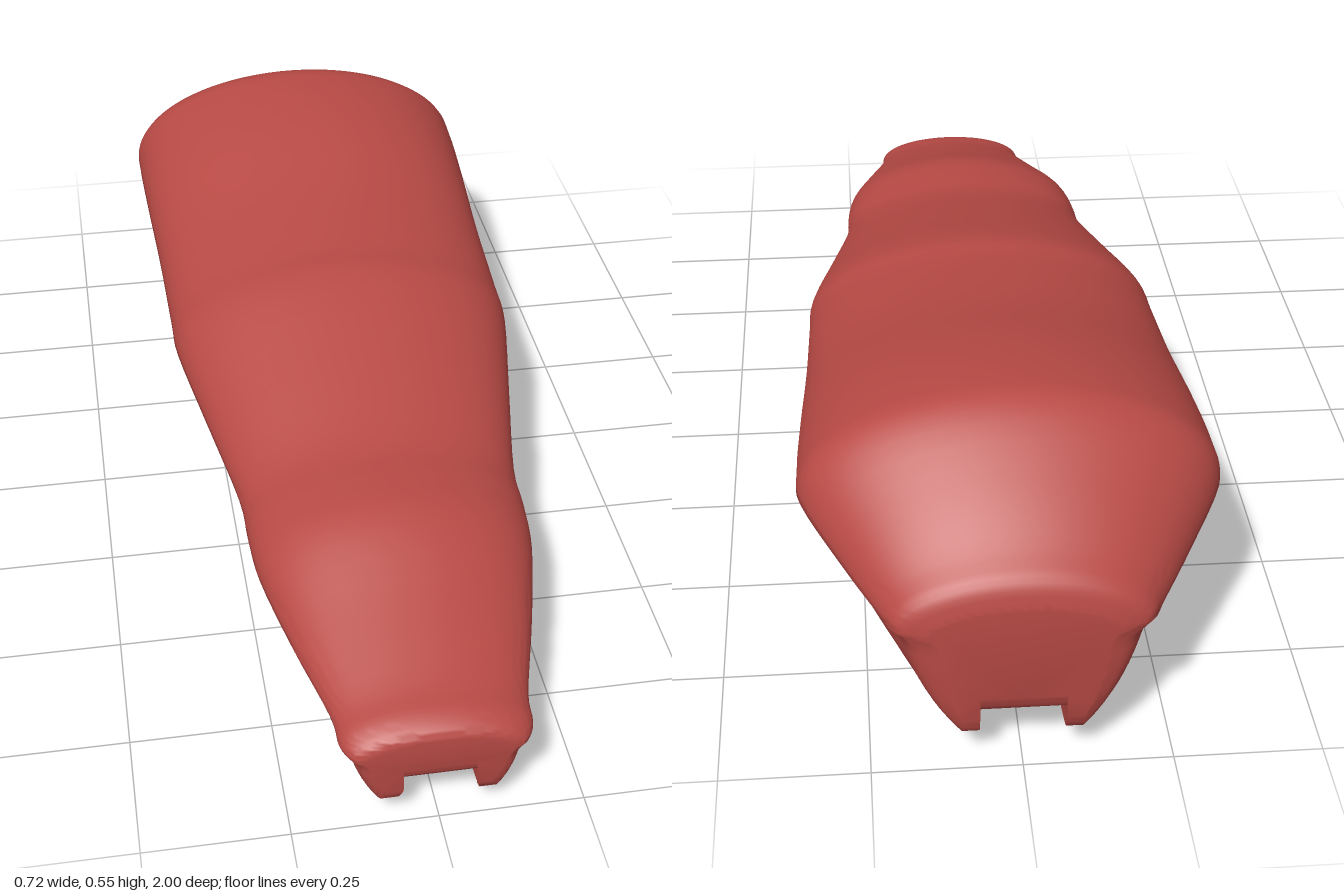
import * as THREE from 'three';
import { toCreasedNormals } from 'three/addons/utils/BufferGeometryUtils.js';

// Stations front to back: [z, top y, rim half width, rim y, bottom y]
const STATIONS = [
  [1, 0.178, 0.13, 0.142, 0.07],
  [0.992, 0.192, 0.147, 0.146, 0.05],
  [0.96, 0.207, 0.163, 0.151, 0.034],
  [0.9, 0.22, 0.169, 0.16, 0.029],
  [0.75, 0.27, 0.211, 0.182, 0.018],
  [0.6, 0.325, 0.247, 0.206, 0.01],
  [0.5, 0.335, 0.256, 0.221, 0.008],
  [0.4, 0.342, 0.26, 0.232, 0.006],
  [0.2, 0.395, 0.297, 0.261, 0.002],
  [0, 0.45, 0.334, 0.292, 0],
  [-0.1, 0.456, 0.338, 0.303, 0.001],
  [-0.3, 0.482, 0.343, 0.322, 0.005],
  [-0.5, 0.525, 0.352, 0.344, 0.011],
  [-0.66, 0.545, 0.357, 0.358, 0.017],
  [-0.74, 0.537, 0.35, 0.356, 0.021],
  [-0.85, 0.468, 0.287, 0.316, 0.033],
  [-0.94, 0.4, 0.231, 0.286, 0.051],
  [-0.985, 0.367, 0.204, 0.28, 0.067],
  [-1, 0.325, 0.155, 0.272, 0.1],
];
const STEPS = 4; // slices between stations
const DOME = 20, SIDE = 10;

// Right half of a cross-section from the crown down to the bottom groove
function halfSection(top, w, rim, bottom) {
  const pts = [];
  for (let i = 0; i <= DOME; i++) {
    const a = (i / DOME) * Math.PI / 2;
    pts.push([w * Math.sin(a), rim + (top - rim) * Math.cos(a)]);
  }
  // Overhanging rim, then the curved lower flank
  const lx = w * 0.89, ly = rim - w * 0.12;
  pts.push([w * 0.96, rim - w * 0.04]);
  const foot = Math.min(0.1, lx * 0.75);
  const cx = foot + (lx - foot) * 0.75, cy = bottom + (ly - bottom) * 0.4;
  for (let i = 0; i <= SIDE; i++) {
    const t = i / SIDE, u = 1 - t;
    pts.push([
      u * u * lx + 2 * u * t * cx + t * t * foot,
      u * u * ly + 2 * u * t * cy + t * t * bottom,
    ]);
  }
  // Rail along the bottom and the groove between the rails
  const inner = foot * 0.71;
  pts.push([inner, bottom], [inner, bottom + 0.045], [0, bottom + 0.045]);
  return pts;
}

function fullSection(top, w, rim, bottom) {
  const half = halfSection(top, w, rim, bottom);
  const mirrored = half.slice(1, -1).reverse().map(([x, y]) => [-x, y]);
  return half.concat(mirrored);
}

function buildBody() {
  const rows = new THREE.CubicInterpolant(
    STATIONS.map((_, i) => i), STATIONS.flat(), 5, new Float32Array(5));
  const positions = [], index = [], sections = [];
  const slices = (STATIONS.length - 1) * STEPS;
  for (let s = 0; s <= slices; s++) {
    const [z, top, w, rim, bottom] = rows.evaluate(s / STEPS);
    const section = fullSection(top, w, rim, bottom);
    sections.push(section);
    for (const [x, y] of section) positions.push(x, y, z);
  }
  const n = sections[0].length;

  // Skin between neighbouring sections
  for (let s = 0; s < slices; s++) {
    for (let i = 0; i < n; i++) {
      const j = (i + 1) % n;
      const a = s * n + i, b = s * n + j, c = a + n, d = b + n;
      index.push(a, b, c, b, d, c);
    }
  }

  // Flat end caps, wound to face outwards
  for (const [s, facing] of [[0, 1], [slices, -1]]) {
    const pts = sections[s].map(([x, y]) => new THREE.Vector2(x, y));
    for (const [a, b, c] of THREE.ShapeUtils.triangulateShape(pts, [])) {
      const turn = (pts[b].x - pts[a].x) * (pts[c].y - pts[a].y)
        - (pts[b].y - pts[a].y) * (pts[c].x - pts[a].x);
      const face = turn * facing > 0 ? [a, b, c] : [a, c, b];
      index.push(...face.map((i) => i + s * n));
    }
  }

  const geometry = new THREE.BufferGeometry();
  geometry.setAttribute('position', new THREE.Float32BufferAttribute(positions, 3));
  geometry.setIndex(index);
  return toCreasedNormals(geometry, 1.0);
}

export function createModel() {
  const group = new THREE.Group();
  group.name = 'taperedShell';
  const body = new THREE.Mesh(buildBody(), new THREE.MeshStandardMaterial({ color: 0xb84a45 }));
  body.name = 'groovedBody';
  group.add(body);
  return group;
}
